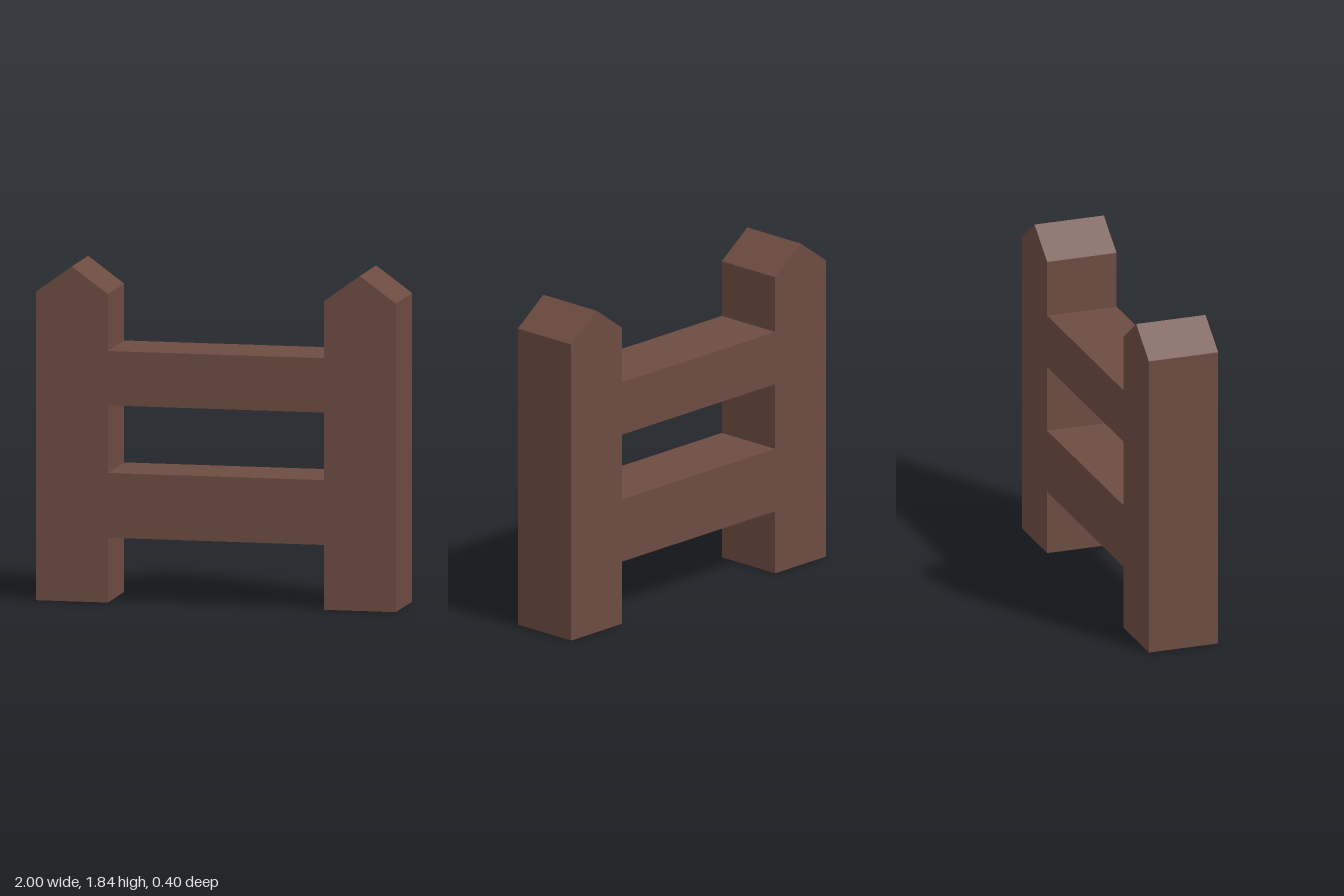
import * as THREE from 'three';

const DEPTH = 0.4;
const POST_X = 0.8;
const POST_HALF = 0.2;

export function createModel() {
  const group = new THREE.Group();
  group.name = 'fence';
  const wood = new THREE.MeshStandardMaterial({ color: 0x6d4c41, flatShading: true });

  // Pointed post: pentagon outline extruded through the depth
  const outline = new THREE.Shape([
    new THREE.Vector2(-POST_HALF, 0),
    new THREE.Vector2(POST_HALF, 0),
    new THREE.Vector2(POST_HALF, 1.69),
    new THREE.Vector2(0, 1.835),
    new THREE.Vector2(-POST_HALF, 1.69),
  ]);
  const postGeometry = new THREE.ExtrudeGeometry(outline, { depth: DEPTH, bevelEnabled: false });
  postGeometry.translate(0, 0, -DEPTH / 2);
  for (const [name, side] of [['leftPost', 1], ['rightPost', -1]]) {
    const post = new THREE.Mesh(postGeometry, wood);
    post.name = name;
    post.position.x = side * POST_X;
    group.add(post);
  }

  // Rails spanning the gap, flush with the posts
  const span = 2 * (POST_X - POST_HALF);
  for (const [name, bottom, top] of [['lowerRail', 0.355, 0.71], ['upperRail', 1.08, 1.378]]) {
    const rail = new THREE.Mesh(new THREE.BoxGeometry(span, top - bottom, DEPTH), wood);
    rail.name = name;
    rail.position.y = (bottom + top) / 2;
    group.add(rail);
  }
  return group;
}
